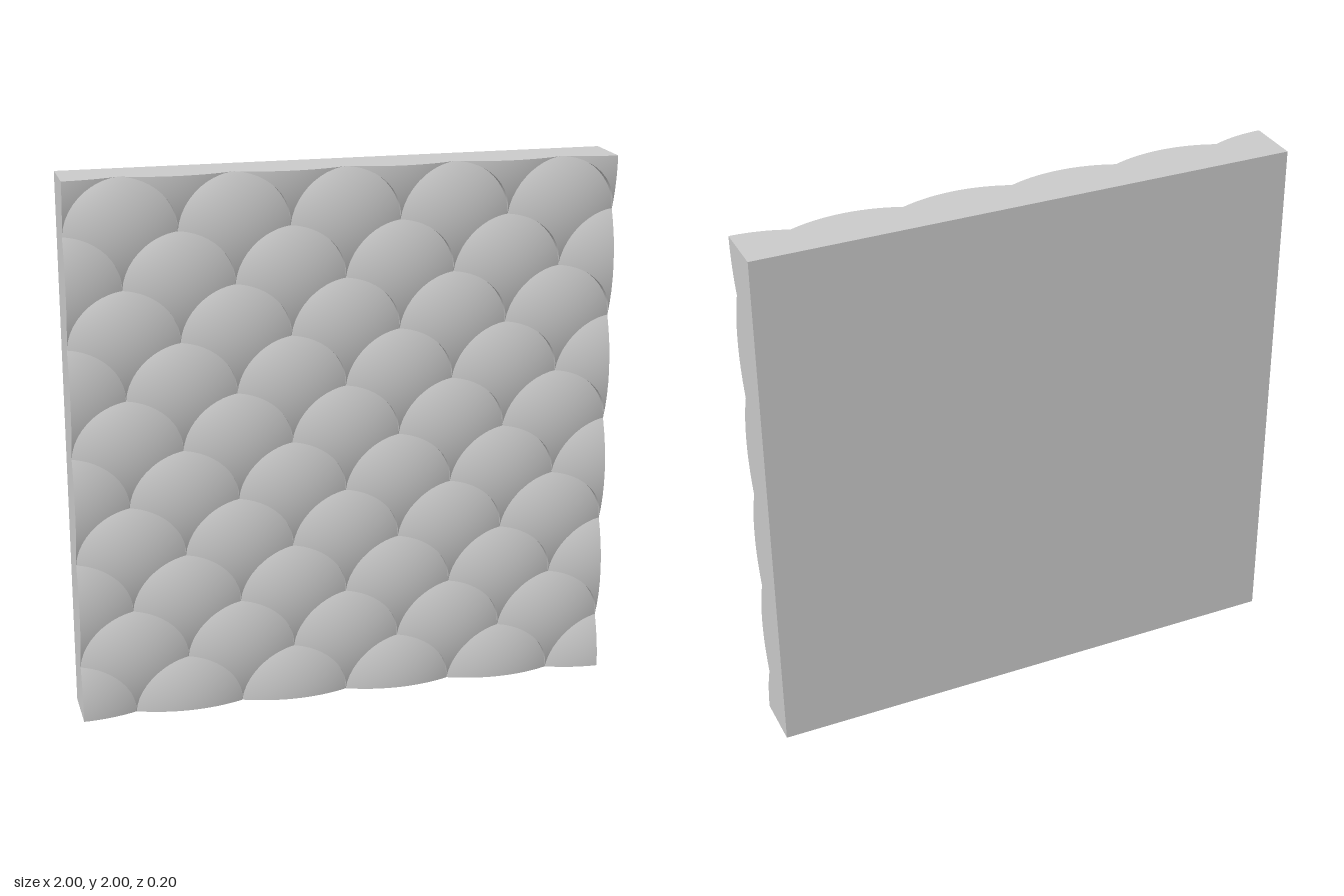
import * as THREE from 'three';
import { mergeGeometries } from 'three/addons/utils/BufferGeometryUtils.js';

const R = 0.2;              // scale radius, also the row spacing
const TOP = 0.1;            // z of each dome's crown
const RIM = 0.06;           // z of each dome's rim
const RISE = TOP - RIM;
const SPHERE = (R * R + RISE * RISE) / (2 * RISE);
const ROWS = 10;

const domeZ = (u, v) => Math.max(RIM, TOP - SPHERE + Math.sqrt(SPHERE * SPHERE - u * u - v * v));
const arc = (d) => Math.sqrt(Math.max(0, R * R - d * d));

// Grid surface: point(s, t) with s to the right and t up when seen from its front
function surface(cols, rows, point) {
  const g = new THREE.PlaneGeometry(1, 1, cols, rows);
  const p = g.attributes.position;
  for (let i = 0; i < p.count; i++) p.setXYZ(i, ...point(p.getX(i) + 0.5, p.getY(i) + 0.5));
  g.computeVertexNormals();
  return g;
}

// One half (side -1 or 1) of an ogee-shaped scale, with its step walls
function halfScale(side, row, cut) {
  const parts = [];
  const across = (s) => (R / 2) * (1 - Math.cos(Math.PI * s)) - (side < 0 ? R : 0);
  const low = (u) => (row === 0 ? 0 : arc(R - Math.abs(u)) - R);
  const high = (u) => (row === ROWS ? 0 : arc(u));
  const mix = THREE.MathUtils.lerp;

  // domed face with exact spherical normals
  const dome = surface(14, 8, (s, t) => {
    const u = across(s), v = mix(low(u), high(u), t);
    return [u, v, domeZ(u, v)];
  });
  const p = dome.attributes.position;
  const n = new THREE.Vector3();
  for (let i = 0; i < p.count; i++) {
    n.set(p.getX(i), p.getY(i), p.getZ(i) - TOP + SPHERE).normalize();
    dome.attributes.normal.setXYZ(i, n.x, n.y, n.z);
  }
  parts.push(dome);

  // wall stepping down to the scales of the row below
  parts.push(surface(14, 1, (s, t) => {
    const u = across(s), v = low(u);
    return [u, v, mix(RIM, domeZ(u, v), t)];
  }));

  // flat cut along the panel's top edge
  if (row === ROWS) {
    parts.push(surface(14, 1, (s, t) => {
      const u = across(s);
      return [u, 0, mix(domeZ(u, 0), RIM, t)];
    }));
  }

  // flat cut along the panel's left or right edge
  if (cut) {
    parts.push(surface(16, 1, (s, t) => {
      const v = mix(low(0), high(0), side < 0 ? s : 1 - s);
      return [0, v, mix(RIM, domeZ(0, v), t)];
    }));
  }
  return parts;
}

export function createModel() {
  const group = new THREE.Group();
  const material = new THREE.MeshStandardMaterial({ color: 0xcccccc });

  // flat slab behind the scales
  const panel = new THREE.Mesh(new THREE.BoxGeometry(2, 2, RIM + 0.1), material);
  panel.name = 'backPanel';
  panel.position.set(0, 1, (RIM - 0.1) / 2);
  group.add(panel);

  // staggered rows of overlapping scales
  for (let row = 0; row <= ROWS; row++) {
    const even = row % 2 === 0;
    const count = even ? 6 : 5;
    const parts = [];
    for (let i = 0; i < count; i++) {
      const x = (i - (count - 1) / 2) * 2 * R;
      for (const side of [-1, 1]) {
        const atEdge = even && (i === 0 || i === count - 1);
        if (atEdge && side * x > 0) continue;
        for (const g of halfScale(side, row, atEdge)) parts.push(g.translate(x, row * R, 0));
      }
    }
    const mesh = new THREE.Mesh(mergeGeometries(parts), material);
    mesh.name = `scaleRow${row + 1}`;
    group.add(mesh);
  }
  return group;
}
